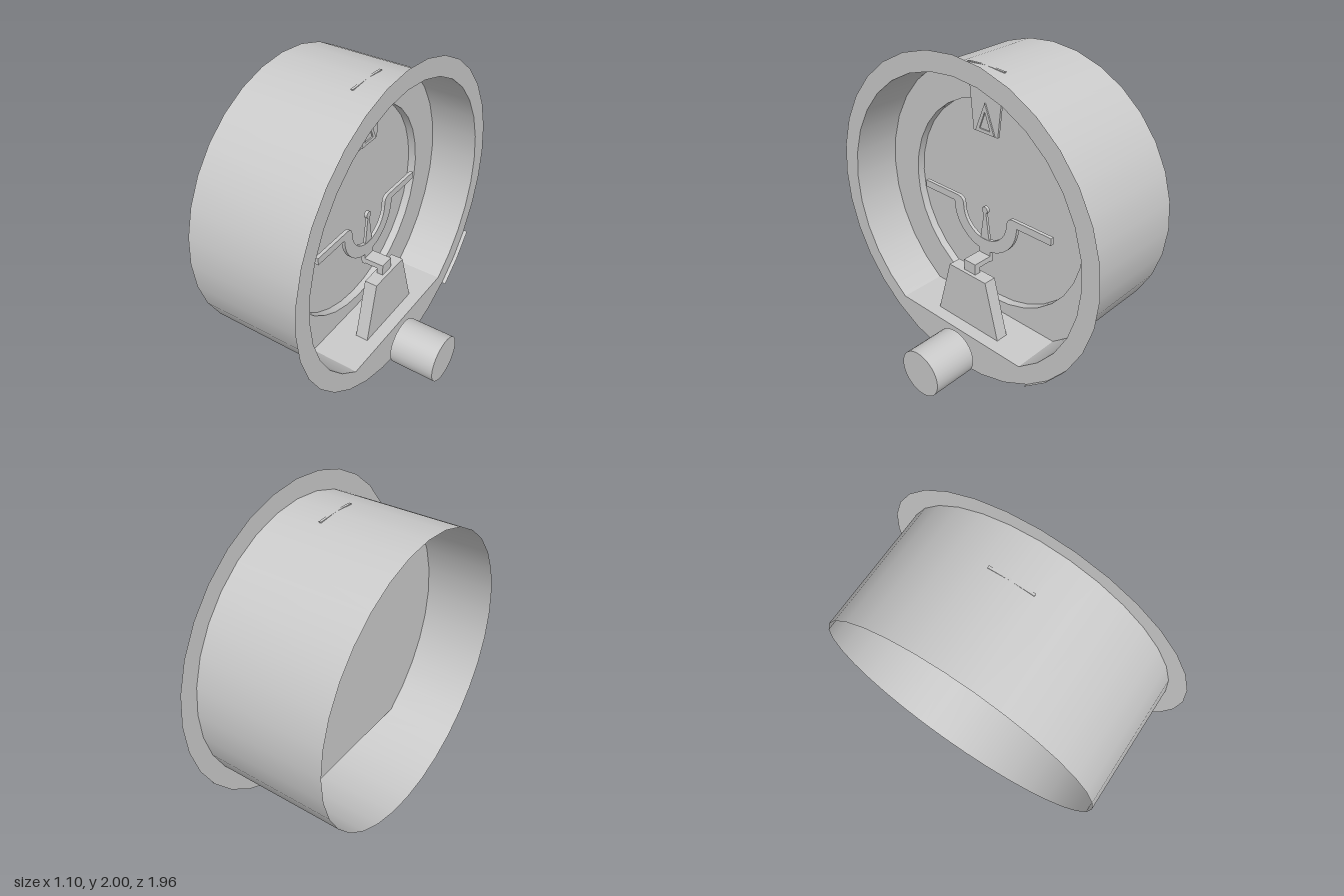
import * as THREE from 'three';

const CY = 1.018; // height of the drum axis
const SIDES = 32;
const RIM = 0.982;
const WALL = 0.87;
const FRONT = 0.232; // plane of the flange
const PLATE = -0.122; // plane of the back plate
const RING = -0.072; // plane of the ring around the recess

export function createModel() {
  const model = new THREE.Group();
  model.name = 'roundInstrument';
  const grey = new THREE.MeshStandardMaterial({ color: 0xcacaca, side: THREE.DoubleSide });
  grey.name = 'lightGrey';

  const add = (name, geometry) => {
    const mesh = new THREE.Mesh(geometry, grey);
    mesh.name = name;
    model.add(mesh);
  };
  // Points of the drum polygon, counted in steps from the top
  const arc = (r, from, to) => {
    const pts = [];
    for (let i = from; i <= to; i++) {
      const a = (i / SIDES) * Math.PI * 2;
      pts.push(new THREE.Vector2(r * Math.sin(a), CY + r * Math.cos(a)));
    }
    return pts;
  };
  const poly = (...p) => new THREE.Shape(p.map(([u, v]) => new THREE.Vector2(u, v)));
  const trapezoid = (y0, w0, y1, w1) => poly([-w0, y0], [w0, y0], [w1, y1], [-w1, y1]);
  // Side profile (u = -z, v = y) as a flat sheet at x, or extruded from x0 to x1
  const sheet = (name, shape, x) =>
    add(name, new THREE.ShapeGeometry(shape).rotateY(Math.PI / 2).translate(x, 0, 0));
  const slab = (name, shape, x0, x1) => {
    const g = new THREE.ExtrudeGeometry(shape, { depth: x1 - x0, bevelEnabled: false, curveSegments: 10 });
    add(name, g.rotateY(Math.PI / 2).translate(x0, 0, 0));
  };
  const box = (name, x0, x1, y0, y1, w) => {
    const g = new THREE.BoxGeometry(x1 - x0, y1 - y0, w);
    add(name, g.translate((x0 + x1) / 2, (y0 + y1) / 2, 0));
  };
  // Round parts along x
  const round = (name, r, x0, x1, y, sides, open) => {
    const g = new THREE.CylinderGeometry(r, r, x1 - x0, sides, 1, open);
    add(name, g.rotateZ(-Math.PI / 2).translate((x0 + x1) / 2, y, 0));
  };

  // Open drum wall
  round('drumWall', WALL, -0.552, FRONT, CY, SIDES, true);

  // Flat flange, with the opening cut off straight at the shelf
  const opening = arc(WALL, -13, 13);
  const rim = new THREE.Shape(arc(RIM, 0, SIDES - 1));
  rim.holes.push(new THREE.Path(opening));
  sheet('flange', rim, FRONT);

  // Short lip on two segments of the flange edge
  const lipPts = arc(RIM, 11, 13);
  for (let i = 0; i < 2; i++) {
    const a = lipPts[i], b = lipPts[i + 1];
    const g = new THREE.PlaneGeometry(0.025, a.distanceTo(b));
    g.rotateX(-Math.atan2(b.x - a.x, b.y - a.y));
    add('flangeLip', g.translate(FRONT + 0.0125, (a.y + b.y) / 2, -(a.x + b.x) / 2));
  }

  // Back plate, and the ring that leaves a shallow round recess in front of it
  sheet('backPlate', new THREE.Shape(opening), PLATE);
  const ring = new THREE.Shape(opening);
  ring.holes.push(new THREE.Path(arc(0.65, 0, SIDES - 1)));
  sheet('recessRing', ring, RING);
  round('recessWall', 0.65, PLATE, RING, CY, SIDES, true);

  // Shelf closing the bottom of the opening
  const shelfEnd = opening[0];
  const shelf = new THREE.PlaneGeometry(FRONT - PLATE, Math.abs(shelfEnd.x) * 2);
  add('shelf', shelf.rotateX(-Math.PI / 2).translate((FRONT + PLATE) / 2, shelfEnd.y, 0));

  // Upper index plate following the drum wall, with a raised triangle frame
  slab('indexPlate', poly([-0.09, 1.5], [0.09, 1.5], [0.132, 1.881], [0, CY + WALL], [-0.132, 1.881]), -0.018, -0.004);
  const mark = poly([-0.07, 1.505], [0.07, 1.505], [0, 1.68]);
  mark.holes.push(poly([-0.04, 1.525], [0.04, 1.525], [0, 1.63]));
  slab('indexTriangle', mark, -0.004, 0.004);

  // Arm: two straight wings joined by a bowl on a short stem
  const arm = new THREE.Shape();
  const stem = Math.acos(0.045 / 0.245);
  arm.moveTo(-0.49, 1.0);
  arm.lineTo(-0.245, 1.0);
  arm.absarc(0, 1.0, 0.245, Math.PI, Math.PI * 1 + stem, false);
  arm.lineTo(-0.045, 0.69);
  arm.lineTo(0.045, 0.69);
  arm.absarc(0, 1.0, 0.245, -stem, 0, false);
  arm.lineTo(0.49, 1.0);
  arm.lineTo(0.49, 1.045);
  arm.lineTo(0.22, 1.045);
  arm.quadraticCurveTo(0.172, 1.045, 0.17, 1.0);
  arm.absarc(0, 1.0, 0.17, 0, -Math.PI, true);
  arm.quadraticCurveTo(-0.172, 1.045, -0.22, 1.045);
  arm.lineTo(-0.49, 1.045);
  slab('bowlArm', arm, -0.018, 0.004);

  // Needle and its round tip
  slab('needle', trapezoid(0.825, 0.035, 1.02, 0.006), -0.014, 0.002);
  round('needleTip', 0.022, -0.016, 0.004, 1.025, 16, false);

  // Pedestal with a bracket reaching back to the arm
  slab('pedestal', trapezoid(shelfEnd.y, 0.245, 0.66, 0.145), 0.072, 0.152);
  box('bracketPost', 0.09, 0.13, 0.66, 0.7, 0.09);
  box('bracketBar', -0.018, 0.13, 0.695, 0.73, 0.09);

  // Front knob and the foot under the drum
  round('knob', 0.148, 0.258, 0.55, 0.148, 32, false);
  slab('foot', trapezoid(0.04, 0.315, 0.2, 0.265), 0.075, 0.138);

  return model;
}
